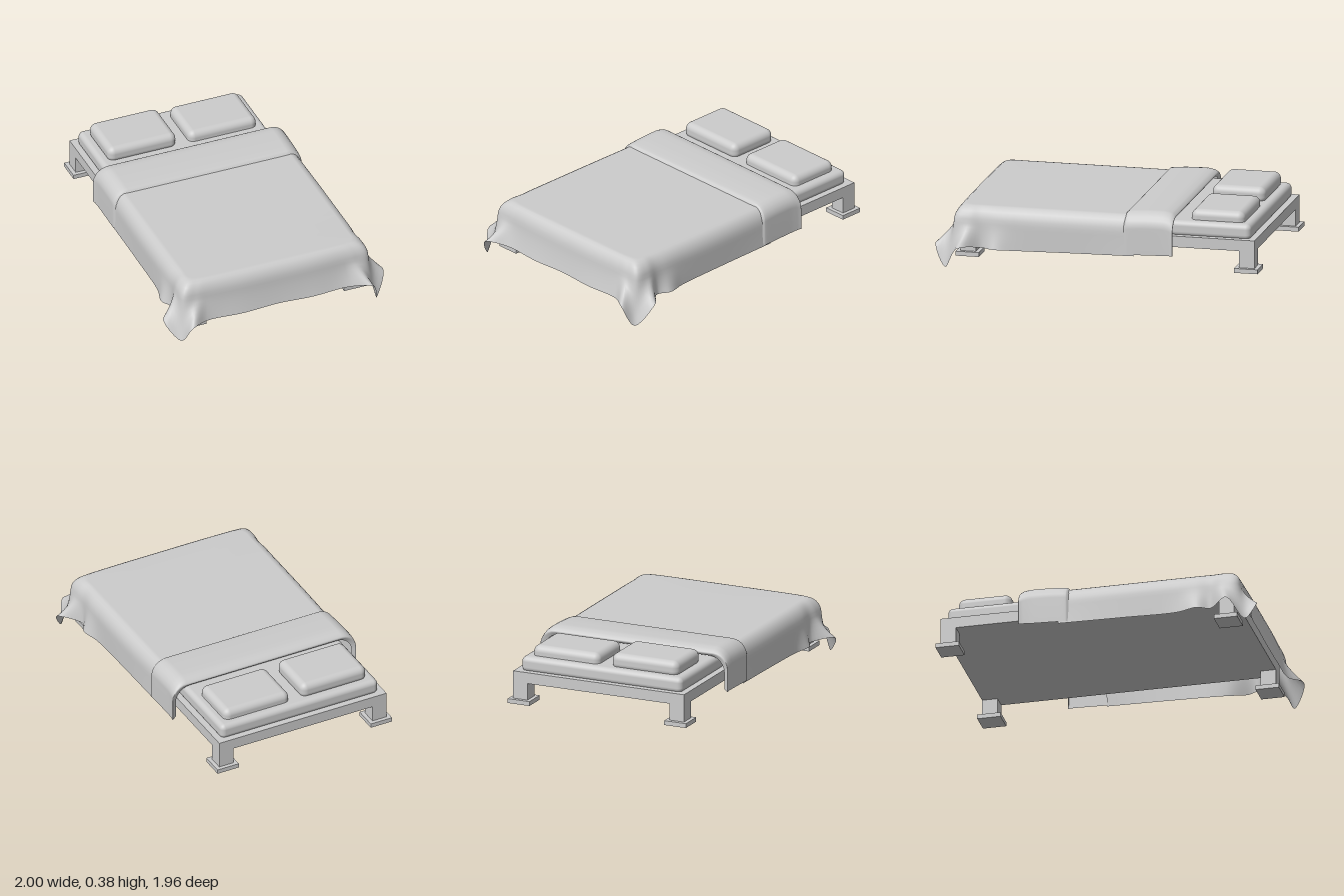
import * as THREE from 'three';
import { RoundedBoxGeometry } from 'three/addons/geometries/RoundedBoxGeometry.js';

const grey = new THREE.MeshStandardMaterial({ color: 0xcccccc });
const cloth = new THREE.MeshStandardMaterial({ color: 0xcccccc, side: THREE.DoubleSide });

function add(parent, name, geometry, x, y, z, material = grey) {
  const mesh = new THREE.Mesh(geometry, material);
  mesh.name = name;
  mesh.position.set(x, y, z);
  parent.add(mesh);
  return mesh;
}

// Smooth sheet through a grid of points given by fn(i, j)
function sheet(nu, nv, fn) {
  const pos = [], index = [];
  for (let i = 0; i <= nu; i++) {
    for (let j = 0; j <= nv; j++) {
      pos.push(...fn(i, j));
      if (i < nu && j < nv) {
        const a = i * (nv + 1) + j, b = a + nv + 1;
        index.push(a, b, a + 1, b, b + 1, a + 1);
      }
    }
  }
  const g = new THREE.BufferGeometry();
  g.setAttribute('position', new THREE.Float32BufferAttribute(pos, 3));
  g.setIndex(index);
  g.computeVertexNormals();
  return g;
}

// Draped blanket: each station has top edge (x, z), shoulder (x, z) and hem (x, y, z)
function blanketGeometry() {
  const half = [
    [0.47, -0.15, 0.53, -0.15, 0.535, 0.115, -0.15],
    [0.47, 0.2, 0.535, 0.2, 0.535, 0.11, 0.2],
    [0.47, 0.5, 0.535, 0.5, 0.54, 0.105, 0.5],
    [0.47, 0.61, 0.535, 0.6, 0.565, 0.11, 0.61],
    [0.47, 0.69, 0.53, 0.68, 0.535, 0.11, 0.68],
    [0.47, 0.74, 0.54, 0.75, 0.63, 0.12, 0.79],
    [0.455, 0.765, 0.53, 0.825, 0.56, 0.0, 0.87], // hanging corner tip
    [0.42, 0.775, 0.46, 0.835, 0.52, 0.12, 0.93],
    [0.36, 0.78, 0.39, 0.835, 0.41, 0.11, 0.87],
    [0.2, 0.78, 0.2, 0.84, 0.2, 0.1, 0.865],
  ];
  const mirrored = half.map(([a, b, c, d, e, f, g]) => [-a, b, -c, d, -e, Math.max(f, 0.02), g]).reverse();
  const stations = [...half, [0, 0.78, 0, 0.84, 0, 0.105, 0.86], ...mirrored];
  const curve = (pick) => new THREE.CatmullRomCurve3(stations.map((s) => new THREE.Vector3(...pick(s))));
  const topEdge = curve((s) => [s[0], 0.33, s[1]]);
  const shoulder = curve((s) => [s[2], 0.24, s[3]]);
  const hem = curve((s) => [s[4], s[5], s[6]]);
  const nu = (stations.length - 1) * 6, bend = 6, drop = 6;
  return sheet(nu, 1 + bend + drop, (i, j) => {
    const t = i / nu, T = topEdge.getPoint(t), S = shoulder.getPoint(t), H = hem.getPoint(t);
    if (j === 0) return [0, 0.33, Math.min(T.z, 0.55)];
    if (j <= 1 + bend) {
      const a = ((j - 1) / bend) * Math.PI / 2, k = Math.sin(a);
      return [T.x + (S.x - T.x) * k, S.y + (T.y - S.y) * Math.cos(a), T.z + (S.z - T.z) * k];
    }
    const f = (j - 1 - bend) / drop, k = f ** 1.4;
    return [S.x + (H.x - S.x) * k, S.y + (H.y - S.y) * f, S.z + (H.z - S.z) * k];
  });
}

// Turned-back band: an arch across the bed, swept along z with a rolled head edge
function foldGeometry() {
  // z, top height, half width, hem height
  const sections = [
    [-0.355, 0.315, 0.525, 0.14], [-0.365, 0.33, 0.548, 0.13], [-0.345, 0.347, 0.545, 0.13],
    [-0.3, 0.355, 0.542, 0.128], [-0.2, 0.353, 0.541, 0.125], [-0.11, 0.345, 0.54, 0.122],
    [-0.095, 0.33, 0.532, 0.122],
  ];
  const curve = new THREE.CatmullRomCurve3(sections.map((s) => new THREE.Vector3(s[1], s[2], s[3])));
  const zs = new THREE.CatmullRomCurve3(sections.map((s) => new THREE.Vector3(s[0], 0, 0)));
  const nu = 24, bend = 6, r = 0.085;
  return sheet(nu, 2 * bend + 3, (i, j) => {
    const { x: top, y: w, z: hem } = curve.getPoint(i / nu);
    const z = zs.getPoint(i / nu).x;
    const last = 2 * bend + 3;
    const side = j * 2 < last ? -1 : 1;
    const k = side < 0 ? j : last - j; // 0 at the hem, rising to the flat top
    if (k === 0) return [side * w, hem, z];
    const a = ((k - 1) / bend) * Math.PI / 2;
    return [side * (w - r + r * Math.cos(a)), top - r + r * Math.sin(a), z];
  });
}

export function createModel() {
  const model = new THREE.Group();
  model.name = 'doubleBed';
  const bed = new THREE.Group();
  bed.name = 'bed';
  bed.position.set(-0.04, 0, -0.033);
  bed.rotation.y = 0.825; // the bed stands diagonally
  model.add(bed);

  // Frame and mattress
  add(bed, 'frame', new THREE.BoxGeometry(1.0, 0.06, 1.6), 0, 0.2, 0);
  add(bed, 'mattress', new RoundedBoxGeometry(0.94, 0.085, 1.54, 4, 0.028), 0, 0.2625, 0);

  for (const sx of [-1, 1]) {
    // Legs with square foot plates
    for (const sz of [-1, 1]) {
      const leg = new THREE.Group();
      leg.name = 'leg';
      leg.position.set(sx * 0.458, 0, sz * 0.758);
      add(leg, 'legPost', new THREE.BoxGeometry(0.084, 0.1, 0.084), 0, 0.125, 0);
      add(leg, 'footPlate', new THREE.BoxGeometry(0.127, 0.024, 0.127), 0, 0.067, 0);
      bed.add(leg);
    }
    // Pillows, one a little plumper
    const top = sx < 0 ? 0.376 : 0.36;
    add(bed, 'pillow', new RoundedBoxGeometry(0.39, 0.09, 0.29, 5, 0.036), sx * 0.23, top - 0.045, -0.58);
  }

  add(bed, 'blanket', blanketGeometry(), 0, 0, 0, cloth);
  add(bed, 'blanketFold', foldGeometry(), 0, 0, 0, cloth);
  return model;
}
